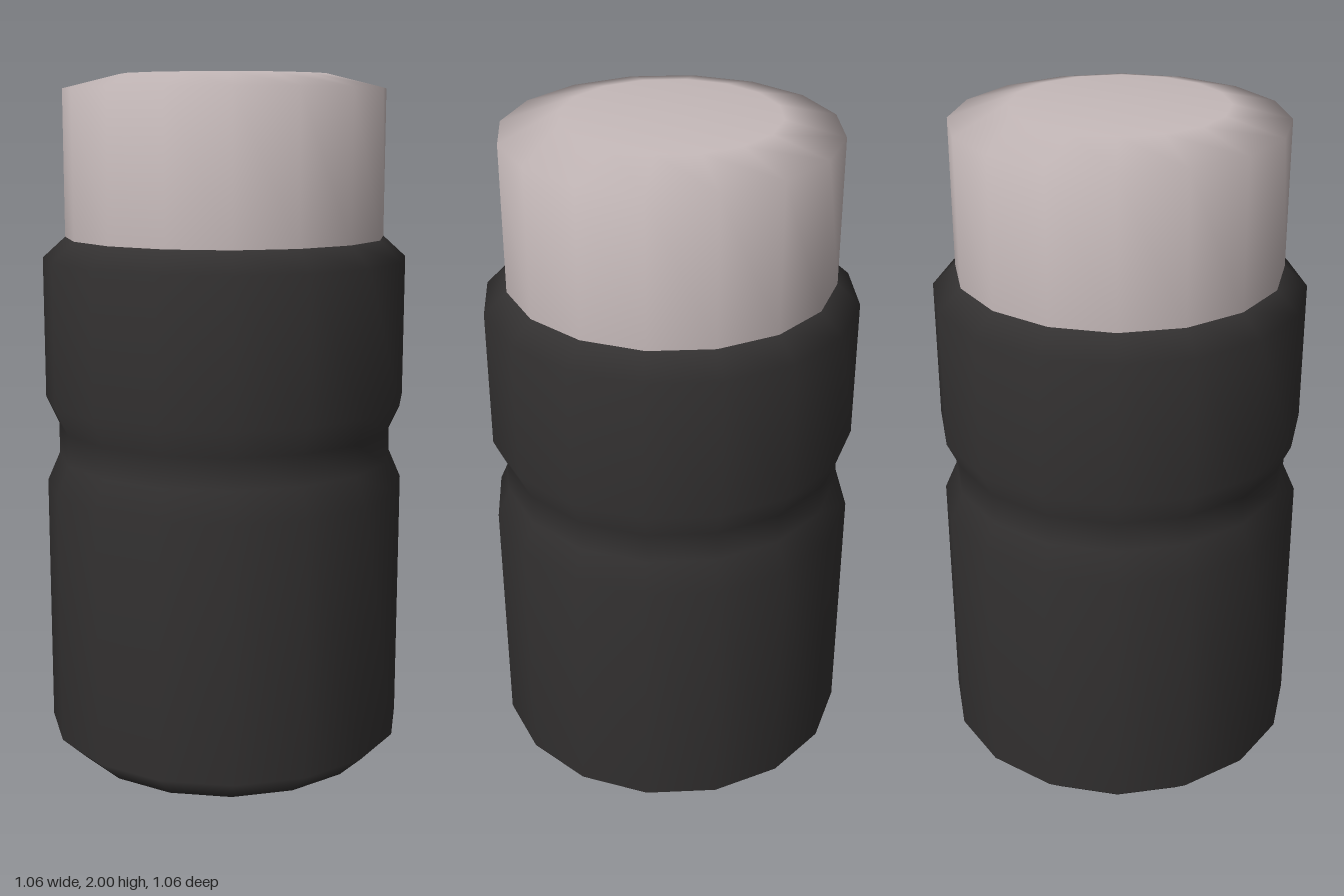
import * as THREE from 'three';

const SIDES = 16;

// Smooth sixteen-sided part turned from [radius, height] pairs, bottom to top
function turned(name, profile, color) {
  const points = profile.map(([r, y]) => new THREE.Vector2(r, y));
  const mesh = new THREE.Mesh(
    new THREE.LatheGeometry(points, SIDES),
    new THREE.MeshStandardMaterial({ color })
  );
  mesh.name = name;
  return mesh;
}

export function createModel() {
  const model = new THREE.Group();
  model.name = 'cappedBottle';

  // Dark body: bevelled base, grip groove and sloped shoulder
  model.add(turned('body', [
    [0, 0], [0.455, 0], [0.53, 0.07],
    [0.53, 0.815], [0.493, 0.9], [0.493, 0.99], [0.53, 1.07],
    [0.53, 1.48], [0.464, 1.54],
  ], 0x333131));

  // Pale cap with a shallow bevel around its flat top
  model.add(turned('cap', [
    [0.464, 1.54], [0.464, 1.96], [0.3, 2], [0, 2],
  ], 0xc6baba));

  return model;
}
